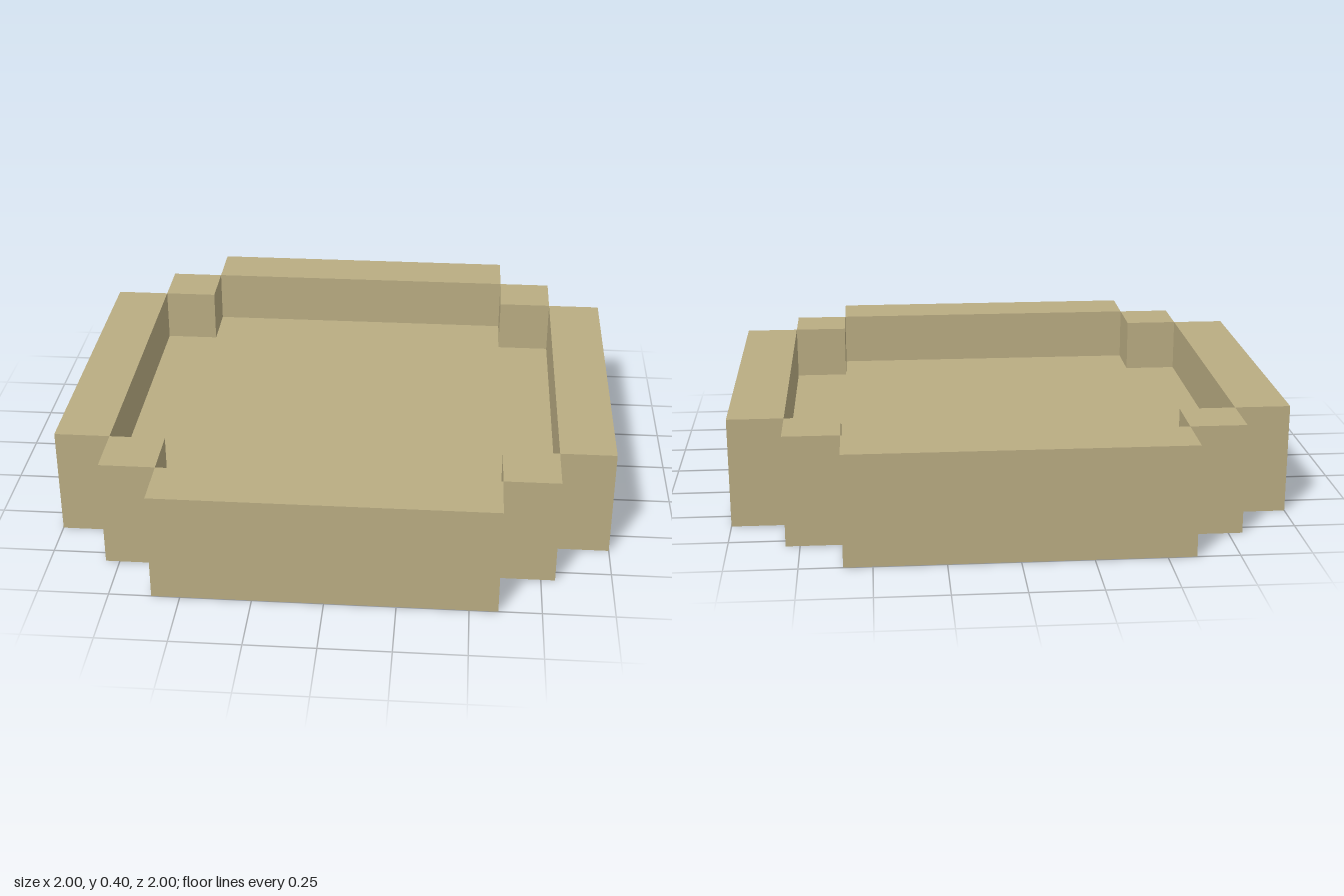
import * as THREE from 'three';

const HEIGHT = 0.4;   // rim height
const FLOOR = 0.2;    // tray floor height
const T = 0.2;        // wall thickness

export function createModel() {
  const model = new THREE.Group();
  model.name = 'steppedTray';

  const sand = new THREE.MeshStandardMaterial({ color: 0xb9ac82 });
  sand.name = 'sand';

  const addBox = (name, w, d, x, z) => {
    const mesh = new THREE.Mesh(new THREE.BoxGeometry(w, HEIGHT, d), sand);
    mesh.name = name;
    mesh.position.set(x, HEIGHT / 2, z);
    model.add(mesh);
  };

  // Floor slab: a square with its corners notched out for the posts
  const a = 0.6, b = 0.8;
  const outline = [
    [a, -b], [a, -a], [b, -a], [b, a], [a, a], [a, b],
    [-a, b], [-a, a], [-b, a], [-b, -a], [-a, -a], [-a, -b],
  ].map(([x, y]) => new THREE.Vector2(x, y));
  const floorGeometry = new THREE.ExtrudeGeometry(new THREE.Shape(outline), {
    depth: FLOOR, bevelEnabled: false,
  });
  floorGeometry.rotateX(-Math.PI / 2);
  const floor = new THREE.Mesh(floorGeometry, sand);
  floor.name = 'floor';
  model.add(floor);

  // Four long walls
  addBox('frontWall', 1.2, T, 0, 0.9);
  addBox('backWall', 1.2, T, 0, -0.9);
  addBox('leftWall', T, 1.2, 0.9, 0);
  addBox('rightWall', T, 1.2, -0.9, 0);

  // Square posts stepping in at each corner
  for (const sx of [1, -1]) {
    for (const sz of [1, -1]) {
      const name = (sz > 0 ? 'front' : 'back') + (sx > 0 ? 'Left' : 'Right') + 'Post';
      addBox(name, T, T, sx * 0.7, sz * 0.7);
    }
  }

  return model;
}
